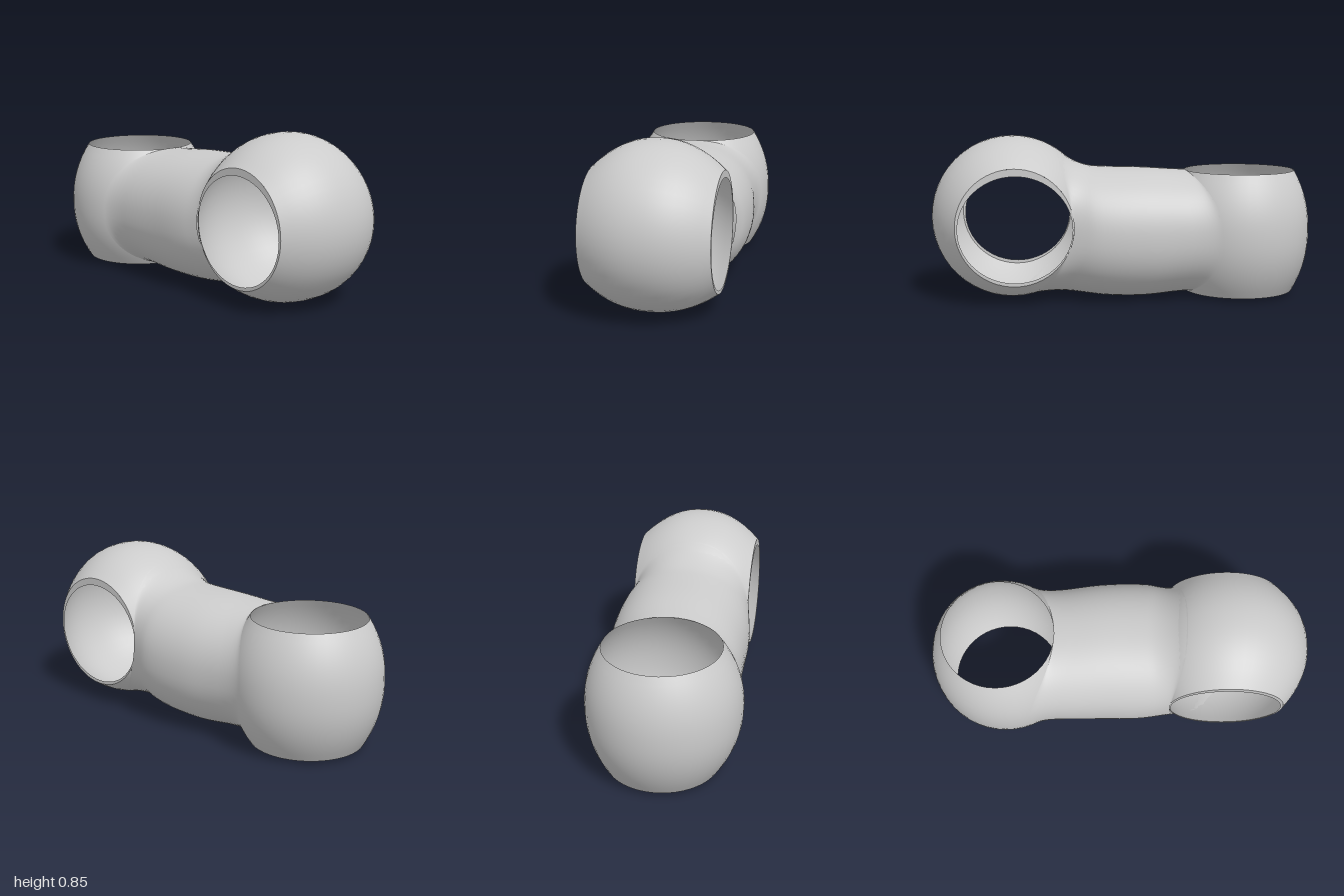
import * as THREE from 'three';
import { mergeVertices } from 'three/addons/utils/BufferGeometryUtils.js';

const material = new THREE.MeshStandardMaterial({ color: 0xcccccc, side: THREE.DoubleSide });

// Bulged, open-ended sockets: half length, middle and rim radius, centre,
// and how far the rims are shifted off the centre line
const front = { half: 0.32, mid: 0.421, end: 0.298, x: 0.015, y: 0.432, z: 0.579, dx: 0, dy: -0.022, dz: -0.016 };
const rear = { half: 0.322, mid: 0.39, end: 0.291, x: -0.003, y: 0.343, z: -0.61, dx: 0.006, dy: 0, dz: -0.016 };

// Radius and squared relative distance at distance d along a socket's axis
function slice(s, d) {
  const u = Math.min(1, Math.abs(d) / s.half);
  return { r: s.mid - (s.mid - s.end) * Math.pow(u, 2.2), u2: u * u };
}

function socketGeometry(s, lying) {
  const profile = [];
  for (let i = 0; i <= 16; i++) {
    const d = s.half * (i / 8 - 1);
    profile.push(new THREE.Vector2(slice(s, d).r, d));
  }
  const g = new THREE.LatheGeometry(profile, 48);
  if (lying) g.rotateZ(-Math.PI / 2);
  const pos = g.attributes.position;
  for (let i = 0; i < pos.count; i++) {
    const { u2 } = slice(s, lying ? pos.getX(i) : pos.getY(i));
    pos.setXYZ(i, pos.getX(i) + s.dx * u2, pos.getY(i) + s.dy * u2, pos.getZ(i) + s.dz * u2);
  }
  return g.translate(s.x, s.y, s.z);
}

// Arm outline along z: left x, right x, bottom, top
const depths = [-0.45, -0.3, -0.1, 0.1, 0.2, 0.28, 0.4];
const limits = [
  -0.342, 0.345, 0.03, 0.662,
  -0.34, 0.357, 0.02, 0.668,
  -0.336, 0.383, 0.004, 0.682,
  -0.335, 0.387, 0.01, 0.688,
  -0.325, 0.373, 0.022, 0.694,
  -0.311, 0.345, 0.031, 0.702,
  -0.306, 0.335, 0.035, 0.71,
];
const outline = new THREE.CubicInterpolant(depths, limits, 4);

function armPoint(a, z) {
  const [x0, x1, y0, y1] = outline.evaluate(z);
  const round = (c) => Math.sign(c) * Math.pow(Math.abs(c), 0.92);
  return new THREE.Vector3(
    (x0 + x1) / 2 + ((x1 - x0) / 2) * round(Math.cos(a)),
    (y0 + y1) / 2 + ((y1 - y0) / 2) * round(Math.sin(a)),
    z,
  );
}

// Where the arm line at angle a meets a socket, and the fillet's far point,
// which lies further round that socket
function meet(s, a) {
  const isFront = s === front;
  const dir = isFront ? -1 : 1;
  const axis = isFront ? 'x' : 'y', side = isFront ? 'y' : 'x';
  const shift = isFront ? s.dy : s.dx;
  const corner = armPoint(a, isFront ? 0.27 : -0.38);
  let r, angle, cz;
  for (let i = 0; i < 8; i++) {
    const cut = slice(s, corner[axis] - s[axis]);
    r = cut.r;
    cz = s.z + s.dz * cut.u2;
    const h = corner[side] - s[side] - shift * cut.u2;
    angle = Math.asin(THREE.MathUtils.clamp(h / r, -0.96, 0.96));
    corner.copy(armPoint(a, cz + dir * r * Math.cos(angle)));
  }
  const turn = isFront ? 0.3 * Math.sin(a) : 0.15 * Math.cos(a);
  const far = corner.clone();
  far[side] += r * (Math.sin(angle + turn) - Math.sin(angle));
  far.z = cz + dir * r * Math.cos(angle + turn);
  return { corner, far };
}

// Arm skin: a straight run with a curved fillet into the socket at each end
function armGeometry() {
  const around = 64, along = 32;
  const g = new THREE.PlaneGeometry(1, 1, around, along);
  const pos = g.attributes.position;
  for (let i = 0; i <= around; i++) {
    const a = ((i % around) / around) * Math.PI * 2;
    const back = meet(rear, a), fore = meet(front, a);
    const z0 = back.corner.z + 0.1, z1 = fore.corner.z - 0.1;
    const backCurve = new THREE.QuadraticBezierCurve3(back.far, back.corner, armPoint(a, z0));
    const foreCurve = new THREE.QuadraticBezierCurve3(armPoint(a, z1), fore.corner, fore.far);
    for (let j = 0; j <= along; j++) {
      const t = 1 - j / along;
      let p;
      if (t < 0.25) p = backCurve.getPoint(t / 0.25);
      else if (t > 0.7) p = foreCurve.getPoint((t - 0.7) / 0.3);
      else p = armPoint(a, THREE.MathUtils.lerp(z0, z1, (t - 0.25) / 0.45));
      pos.setXYZ(j * (around + 1) + i, p.x, p.y, p.z);
    }
  }
  g.deleteAttribute('uv');
  g.deleteAttribute('normal');
  const welded = mergeVertices(g, 1e-5);
  welded.computeVertexNormals();
  return welded;
}

// Narrow lip inside a front rim, widest at the top
function lipGeometry() {
  const shape = new THREE.Shape();
  shape.absarc(-front.z - front.dz, front.y + front.dy, front.end, 0, Math.PI * 2);
  const hole = new THREE.Path();
  hole.absellipse(-0.56, 0.4, 0.288, 0.27, 0, Math.PI * 2, true);
  shape.holes.push(hole);
  return new THREE.ShapeGeometry(shape, 32).rotateY(Math.PI / 2);
}

export function createModel() {
  const group = new THREE.Group();
  const add = (name, geometry) => {
    const mesh = new THREE.Mesh(geometry, material);
    mesh.name = name;
    group.add(mesh);
    return mesh;
  };

  // Front socket opens to the sides, rear socket above and below
  add('frontSocket', socketGeometry(front, true));
  add('rearSocket', socketGeometry(rear, false));

  // Lips in both front openings
  for (const [name, side] of [['leftLip', 1], ['rightLip', -1]]) {
    add(name, lipGeometry()).position.x = front.x + side * front.half;
  }

  // Arm joining the two sockets
  add('connectingArm', armGeometry());

  return group;
}
